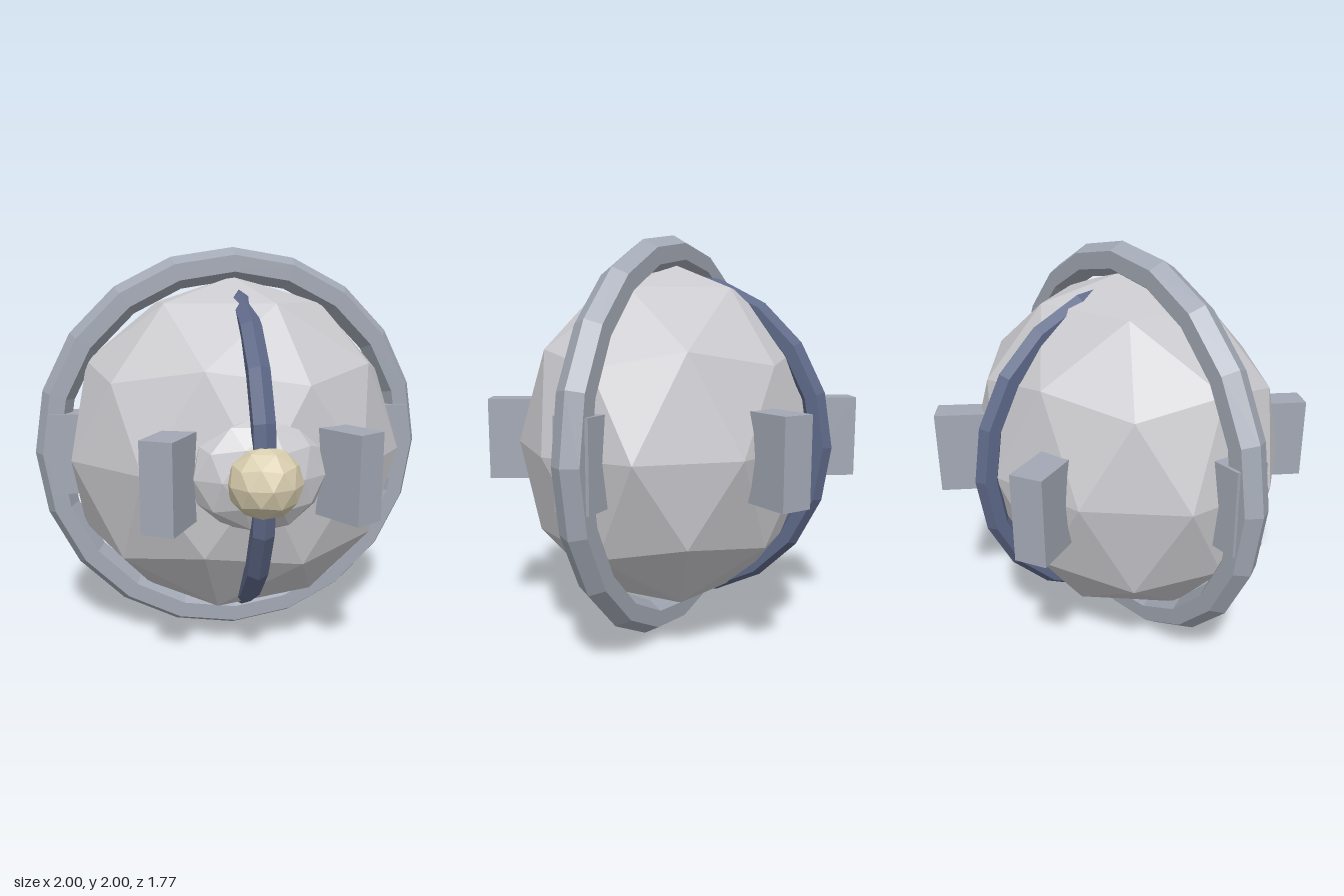
import * as THREE from 'three';

const mat = (name, color) => new THREE.MeshStandardMaterial({ name, color, flatShading: true });

export function createModel() {
  const model = new THREE.Group();
  model.name = 'sphericalPod';
  const hullGrey = mat('hullGrey', 0xcacace);
  const steel = mat('steel', 0xa2a8b4);
  const blue = mat('slateBlue', 0x5e6988);
  const cream = mat('cream', 0xd8cdae);

  const add = (name, geometry, material, x, y, z) => {
    const mesh = new THREE.Mesh(geometry, material);
    mesh.name = name;
    mesh.position.set(x, y, z);
    model.add(mesh);
    return mesh;
  };

  // Faceted ball with one vertex turned to the top pole
  const facetedBall = (rx, ry, rz) =>
    new THREE.IcosahedronGeometry(1, 1).rotateZ(-Math.atan(2 / (1 + Math.sqrt(5)))).scale(rx, ry, rz);

  const cy = 1, cz = -0.05;

  // Hull, flattened front to back
  add('hull', facetedBall(0.86, 0.86, 0.725), hullGrey, 0, cy, cz);

  // Outer ring and the thin band running front to back
  add('outerRing', new THREE.TorusGeometry(0.92, 0.08, 6, 20), steel, 0, cy, cz);
  add('band', new THREE.TorusGeometry(0.765, 0.056, 6, 20).rotateY(Math.PI / 2), blue, 0, cy, cz);

  // Six blocks spaced evenly around the equator
  for (let i = 0; i < 6; i++) {
    const a = (i * Math.PI) / 3;
    const block = add('block', new THREE.BoxGeometry(0.25, 0.4, i % 3 ? 0.15 : 0.17), steel,
      0.795 * Math.cos(a), cy, cz + 0.8 * Math.sin(a));
    block.rotation.y = -a;
  }

  // Front dome with its lamp
  add('frontDome', facetedBall(0.307, 0.262, 0.15), hullGrey, 0, cy, 0.585);
  add('lamp', facetedBall(0.165, 0.16, 0.16), cream, 0, cy, 0.72);

  return model;
}
